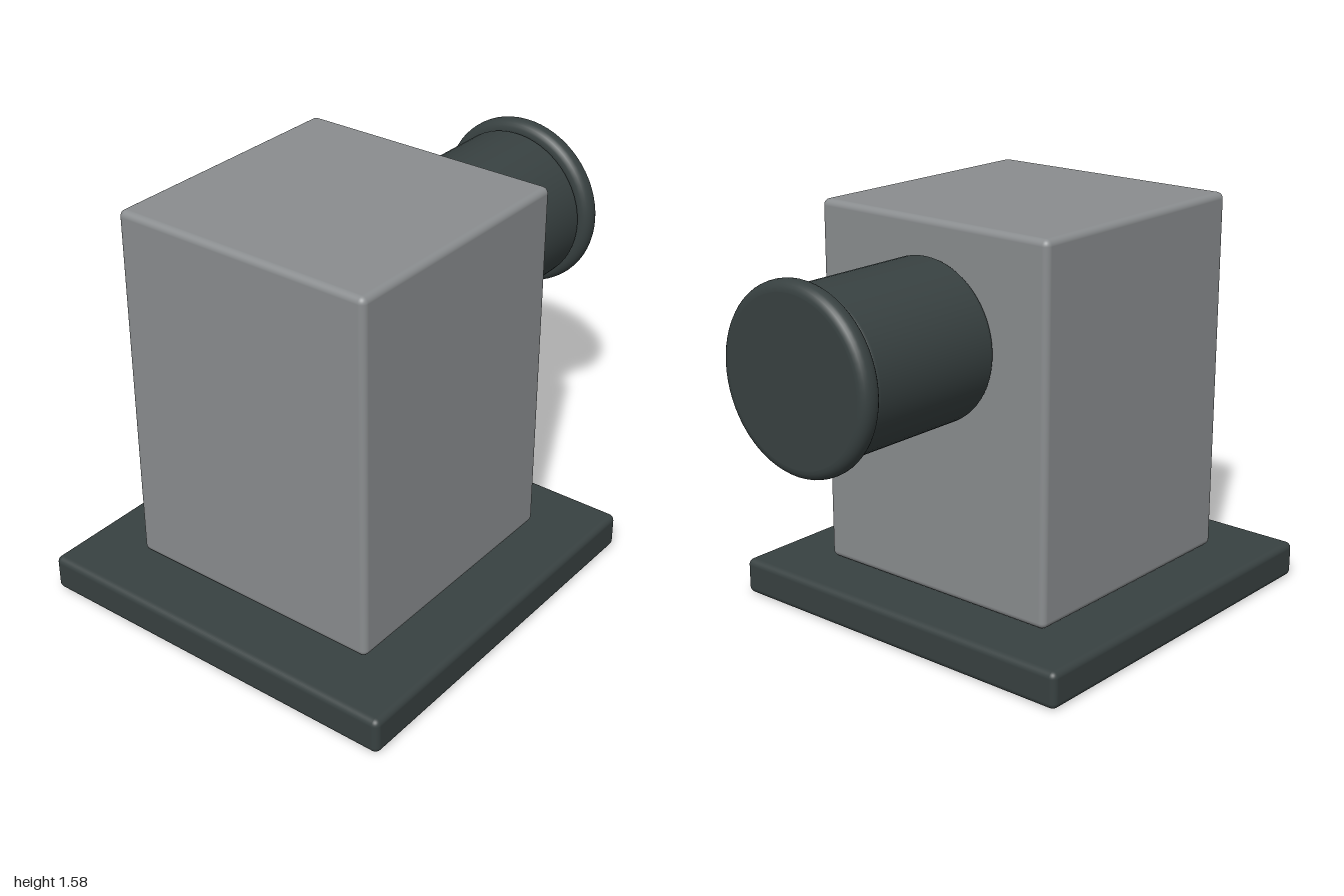
import * as THREE from 'three';
import { RoundedBoxGeometry } from 'three/addons/geometries/RoundedBoxGeometry.js';

const housingGrey = new THREE.MeshStandardMaterial({ name: 'housing grey', color: 0x8a8d8f });
const darkSlate = new THREE.MeshStandardMaterial({ name: 'dark slate', color: 0x384141 });

// Box with softly rounded edges, placed by its bottom height
function roundedBlock(name, material, w, h, d, bevel, x, bottom) {
  const mesh = new THREE.Mesh(new RoundedBoxGeometry(w, h, d, 4, bevel), material);
  mesh.name = name;
  mesh.position.set(x, bottom + h / 2, 0);
  return mesh;
}

// Solid disc or drum along +x with rounded rims
function roundedDrum(name, material, radius, x0, x1, bevel, y) {
  const length = x1 - x0;
  const steps = 6;
  const guard = 0.002; // keeps the flat ends and straight wall evenly shaded
  const profile = [new THREE.Vector2(0, 0), new THREE.Vector2(radius - bevel - guard, 0)];
  for (let i = 0; i <= steps; i++) {
    const a = (i / steps) * Math.PI / 2;
    profile.push(new THREE.Vector2(radius - bevel + bevel * Math.sin(a), bevel - bevel * Math.cos(a)));
  }
  // mirror the lower half to make the upper half
  const upper = profile.map((p) => new THREE.Vector2(p.x, length - p.y)).reverse();
  const geometry = new THREE.LatheGeometry([...profile, ...upper], 64);
  geometry.rotateZ(-Math.PI / 2);
  const mesh = new THREE.Mesh(geometry, material);
  mesh.name = name;
  mesh.position.set(x0, y, 0);
  return mesh;
}

export function createModel() {
  const model = new THREE.Group();
  model.name = 'housingWithSideBarrel';

  // Square plinth and upright housing
  model.add(roundedBlock('basePlate', darkSlate, 1.55, 0.143, 1.55, 0.025, -0.225, 0));
  model.add(roundedBlock('housing', housingGrey, 1.074, 1.435, 1.074, 0.025, -0.223, 0.146));

  // Barrel on the model's left, ending in a wider rim
  const axisY = 1.14;
  model.add(roundedDrum('barrel', darkSlate, 0.31, 0.314, 0.916, 0.025, axisY));
  model.add(roundedDrum('endRim', darkSlate, 0.346, 0.916, 1, 0.038, axisY));

  return model;
}
